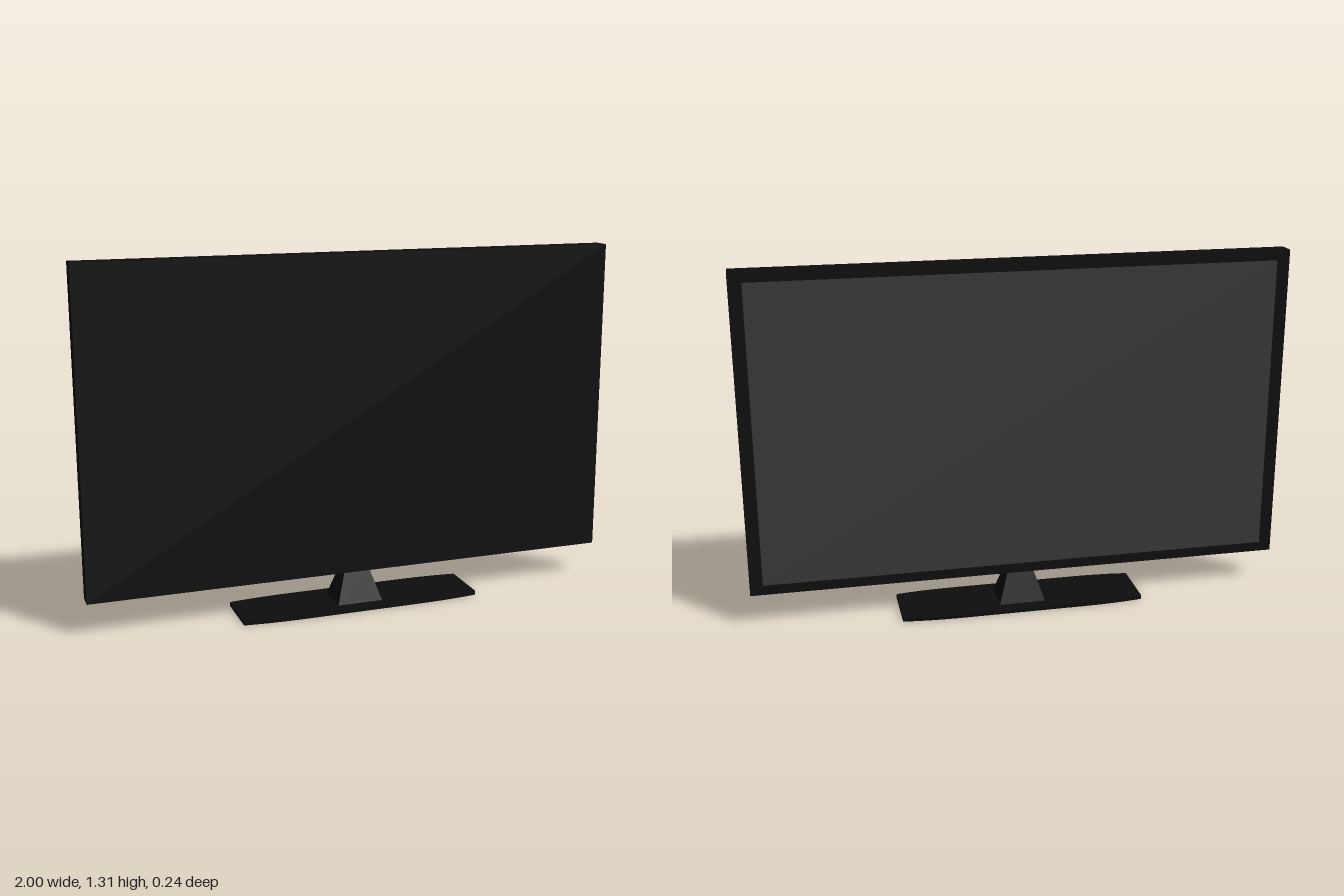
import * as THREE from 'three';

const black = new THREE.MeshStandardMaterial({ color: 0x0d0d0d });
const grey = new THREE.MeshStandardMaterial({ color: 0x3a3a3a });

function part(name, geometry, material, x = 0, y = 0, z = 0) {
  const mesh = new THREE.Mesh(geometry, material);
  mesh.name = name;
  mesh.position.set(x, y, z);
  return mesh;
}

// Thin foot plate with gently bowed long edges and softened corners
function footGeometry() {
  const w = 0.457, end = 0.104, mid = 0.118, r = 0.008, flat = 0.22;
  const s = new THREE.Shape();
  s.moveTo(-w, -end + r);
  s.quadraticCurveTo(-w, -end, -w + r, -end);
  s.quadraticCurveTo(-0.35, -mid, -flat, -mid);
  s.lineTo(flat, -mid);
  s.quadraticCurveTo(0.35, -mid, w - r, -end);
  s.quadraticCurveTo(w, -end, w, -end + r);
  s.lineTo(w, end - r);
  s.quadraticCurveTo(w, end, w - r, end);
  s.quadraticCurveTo(0.35, mid, flat, mid);
  s.lineTo(-flat, mid);
  s.quadraticCurveTo(-0.35, mid, -w + r, end);
  s.quadraticCurveTo(-w, end, -w, end - r);
  const g = new THREE.ExtrudeGeometry(s, { depth: 0.014, bevelEnabled: false, curveSegments: 6 });
  return g.rotateX(-Math.PI / 2);
}

// Box whose top is narrowed to make a tapered neck
function neckGeometry(bottomX, bottomZ, topX, topZ, height) {
  const g = new THREE.BoxGeometry(2, height, 2).toNonIndexed();
  const p = g.attributes.position;
  for (let i = 0; i < p.count; i++) {
    const top = p.getY(i) > 0;
    p.setX(i, p.getX(i) * (top ? topX : bottomX));
    p.setZ(i, p.getZ(i) * (top ? topZ : bottomZ));
  }
  g.computeVertexNormals();
  return g;
}

export function createModel() {
  const model = new THREE.Group();
  model.name = 'television';

  const bottom = 0.125, top = 1.31, halfDepth = 0.033;
  const height = top - bottom, centreY = (top + bottom) / 2;

  // Flat cabinet, with the display on its -z face
  model.add(part('cabinet', new THREE.BoxGeometry(2, height, halfDepth * 2), black, 0, centreY));
  model.add(part('screen', new THREE.BoxGeometry(1.905, height - 0.075, 0.004), grey, 0, centreY, -halfDepth));

  // Stand
  model.add(part('neck', neckGeometry(0.087, 0.07, 0.05, 0.032, 0.116), black, 0, 0.07));
  model.add(part('foot', footGeometry(), black));

  return model;
}
